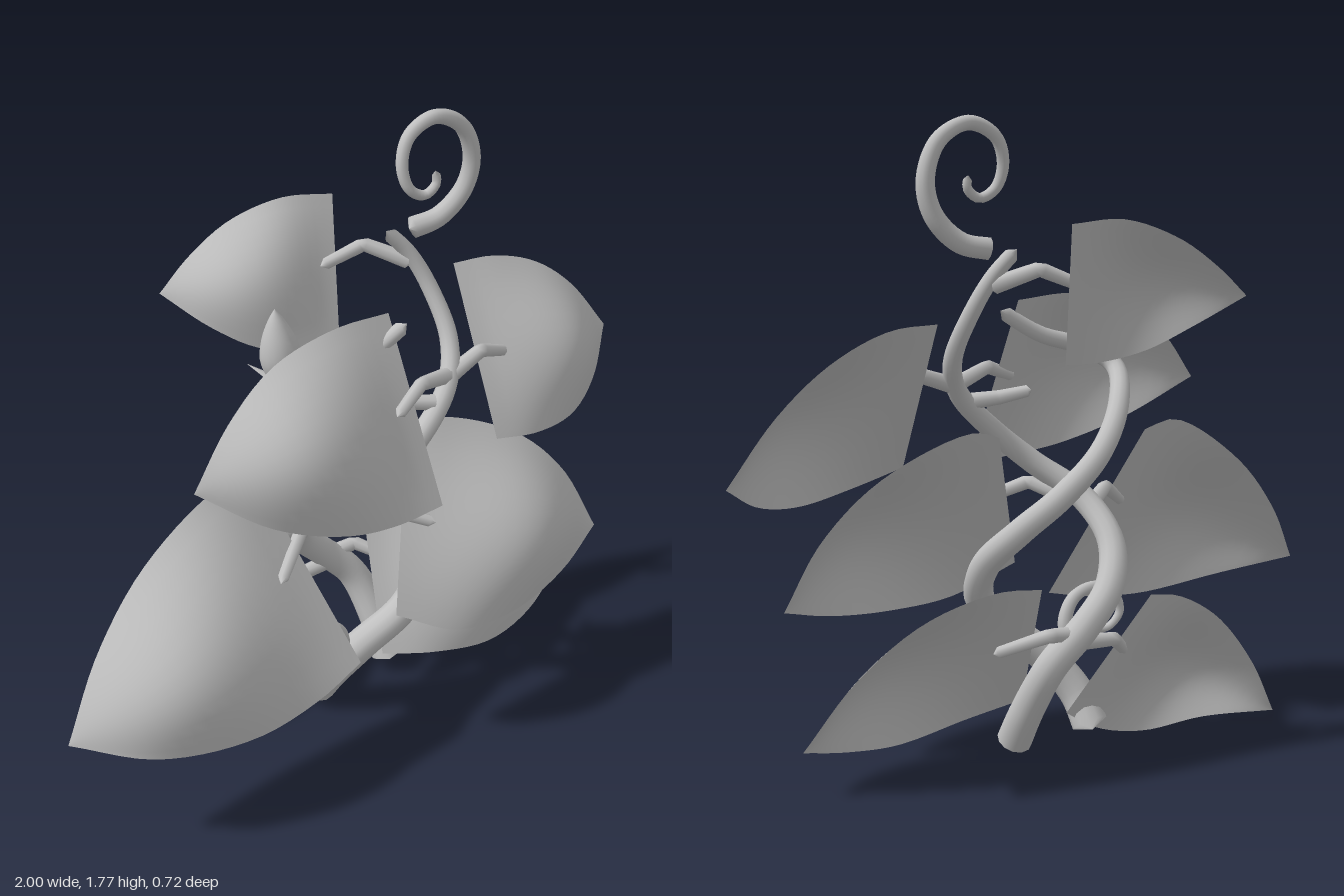
import * as THREE from 'three';

const grey = new THREE.MeshStandardMaterial({ color: 0xc0c0c0, side: THREE.DoubleSide });
grey.name = 'plain grey';

const curveOf = (pts, tension = 0.5) => new THREE.CatmullRomCurve3(
  pts.map(p => new THREE.Vector3(...p)), false, tension === 0.5 ? 'centripetal' : 'catmullrom', tension);

function addMesh(group, name, geometry) {
  const mesh = new THREE.Mesh(geometry, grey);
  mesh.name = name;
  group.add(mesh);
  return mesh;
}

// Tube that tapers from r0 to r1, with its end rings drawn in to close it
function taperedTube(pts, r0, r1, segments, sides, tension) {
  const path = curveOf(pts, tension);
  const g = new THREE.TubeGeometry(path, segments, 1, sides, false);
  const pos = g.attributes.position, c = new THREE.Vector3(), q = new THREE.Vector3();
  for (let i = 0; i <= segments; i++) {
    const t = i / segments, end = i === 0 || i === segments;
    path.getPointAt(t, c);
    const r = end ? 0 : r0 + (r1 - r0) * t;
    for (let j = 0; j <= sides; j++) {
      const k = i * (sides + 1) + j;
      q.fromBufferAttribute(pos, k).sub(c).multiplyScalar(r).add(c);
      pos.setXYZ(k, q.x, q.y, q.z);
    }
  }
  return g;
}

// Leaf blade spanned between its upper and lower edges, which meet at the tip, swelling in the middle
function leafBlade(upper, lower, bulge) {
  const top = curveOf(upper), bottom = curveOf(lower);
  const g = new THREE.PlaneGeometry(1, 1, 20, 12);
  const pos = g.attributes.position, uv = g.attributes.uv;
  for (let i = 0; i < pos.count; i++) {
    const u = uv.getX(i), v = uv.getY(i);
    const p = bottom.getPointAt(u).lerp(top.getPointAt(u), v);
    const swell = bulge * Math.sin(Math.PI * v) * Math.sin(Math.PI * u) ** 2;
    pos.setXYZ(i, p.x, p.y + swell * 0.4, p.z + swell);
  }
  g.computeVertexNormals();
  return g;
}

// Upper edge, lower edge (both from the stalk end to the tip) and swelling of each leaf
const LEAVES = {
  topBackLeaf: [
    [[0.09, 1.5, -0.28], [-0.05, 1.51, -0.31], [-0.19, 1.46, -0.35], [-0.31, 1.38, -0.36], [-0.41, 1.3, -0.345]],
    [[0.04, 1.12, -0.16], [-0.07, 1.12, -0.155], [-0.2, 1.15, -0.185], [-0.31, 1.215, -0.245], [-0.41, 1.3, -0.345]],
    0.06],
  upperLeftLeaf: [
    [[0.08, 1.28, 0.03], [-0.1, 1.29, 0.05], [-0.3, 1.25, 0.08], [-0.45, 1.15, 0.12], [-0.58, 1.01, 0.17]],
    [[0.11, 0.79, 0.27], [-0.05, 0.8, 0.3], [-0.2, 0.82, 0.3], [-0.4, 0.89, 0.26], [-0.58, 1.01, 0.17]],
    0.09],
  upperRightLeaf: [
    [[0.42, 1.25, -0.17], [0.55, 1.24, -0.17], [0.72, 1.17, -0.19], [0.87, 1.05, -0.2], [1, 0.88, -0.19]],
    [[0.39, 0.83, 0.12], [0.55, 0.79, 0.1], [0.72, 0.77, 0.04], [0.87, 0.8, -0.06], [1, 0.88, -0.19]],
    0.09],
  middleLeftLeaf: [
    [[-0.33, 0.89, 0.03], [-0.44, 0.91, 0.04], [-0.68, 0.77, 0.07], [-0.86, 0.59, 0.13], [-1, 0.4, 0.22]],
    [[-0.16, 0.37, 0.29], [-0.32, 0.33, 0.33], [-0.53, 0.31, 0.355], [-0.8, 0.345, 0.33], [-1, 0.4, 0.22]],
    0.1],
  middleRightLeaf: [
    [[0.13, 0.9, 0.05], [0.21, 0.92, 0.05], [0.47, 0.81, 0.08], [0.63, 0.65, 0.12], [0.72, 0.45, 0.18]],
    [[-0.04, 0.48, 0.28], [0.14, 0.39, 0.33], [0.34, 0.375, 0.32], [0.55, 0.4, 0.26], [0.72, 0.45, 0.18]],
    0.09],
  lowerRightLeaf: [
    [[0.14, 0.53, -0.21], [0.28, 0.54, -0.22], [0.48, 0.48, -0.2], [0.64, 0.34, -0.14], [0.76, 0.13, -0.04]],
    [[0.06, 0.14, 0.05], [0.22, 0.1, 0.08], [0.43, 0.06, 0.08], [0.6, 0.08, 0.04], [0.76, 0.13, -0.04]],
    0.09],
  lowerLeftLeaf: [
    [[-0.21, 0.47, -0.2], [-0.29, 0.46, -0.21], [-0.43, 0.38, -0.2], [-0.57, 0.22, -0.18], [-0.67, 0.05, -0.15]],
    [[-0.05, 0.1, -0.01], [-0.15, 0.04, -0.01], [-0.31, 0.005, -0.01], [-0.49, 0.03, -0.05], [-0.67, 0.05, -0.15]],
    0.08],
};

// Kinked stalks, from the stem out to the leaf
const STALKS = [
  [[0.24, 1.33, -0.1], [0.13, 1.38, -0.18], [0.01, 1.33, -0.21]],
  [[0.27, 1.05, 0.06], [0.13, 1.09, 0.12], [0.02, 1.05, 0.175]],
  [[0.25, 1.05, 0.07], [0.37, 1.09, 0.05], [0.49, 1.03, 0]],
  [[-0.13, 0.69, 0], [-0.24, 0.72, 0.1], [-0.35, 0.65, 0.19]],
  [[-0.11, 0.7, 0.04], [-0.01, 0.75, 0.14], [0.13, 0.69, 0.21]],
  [[-0.02, 0.38, -0.18], [0.1, 0.39, -0.18], [0.22, 0.33, -0.08]],
  [[0.03, 0.36, -0.18], [-0.11, 0.35, -0.17], [-0.2, 0.28, -0.08]],
  [[0.2, 1, 0.1], [0.12, 1.01, 0.07], [0.04, 1.03, 0.03]],
];

export function createModel() {
  const model = new THREE.Group();
  model.name = 'climbingVine';

  // Two stems winding round each other
  addMesh(model, 'tallStem', taperedTube([
    [0.13, 0.04, -0.02], [0.12, 0.16, -0.09], [0.08, 0.3, -0.16], [-0.01, 0.4, -0.18], [-0.1, 0.5, -0.16],
    [-0.15, 0.61, -0.08], [-0.12, 0.72, 0.04], [-0.01, 0.81, 0.11], [0.11, 0.91, 0.125], [0.24, 1.03, 0.08],
    [0.29, 1.13, 0.01], [0.275, 1.26, -0.07], [0.23, 1.36, -0.11], [0.17, 1.43, -0.13],
  ], 0.05, 0.02, 90, 12));
  addMesh(model, 'shortStem', taperedTube([
    [-0.13, 0.04, -0.02], [-0.11, 0.14, 0.04], [-0.03, 0.25, 0.09], [0.09, 0.35, 0.115], [0.18, 0.45, 0.08],
    [0.2, 0.56, 0], [0.15, 0.67, -0.11], [0.06, 0.77, -0.18], [-0.05, 0.88, -0.19], [-0.15, 1, -0.12],
    [-0.2, 1.09, -0.01], [-0.13, 1.14, 0.04], [0, 1.18, 0.05], [0.12, 1.25, 0.06],
  ], 0.052, 0.02, 90, 12));

  // Curled tendrils
  addMesh(model, 'topTendril', taperedTube([
    [0.23, 1.43, -0.11], [0.32, 1.45, -0.1], [0.39, 1.52, -0.09], [0.41, 1.61, -0.085], [0.37, 1.71, -0.08],
    [0.28, 1.755, -0.075], [0.2, 1.72, -0.07], [0.17, 1.65, -0.055], [0.185, 1.585, -0.04], [0.23, 1.56, -0.035],
    [0.265, 1.585, -0.035], [0.265, 1.62, -0.04],
  ], 0.031, 0.012, 70, 10));
  addMesh(model, 'lowTendril', taperedTube([
    [-0.13, 0.26, 0.12], [-0.125, 0.33, 0.13], [-0.16, 0.39, 0.14], [-0.24, 0.41, 0.155], [-0.31, 0.38, 0.165],
    [-0.335, 0.32, 0.17], [-0.3, 0.275, 0.175], [-0.25, 0.275, 0.175], [-0.235, 0.31, 0.17], [-0.26, 0.33, 0.165],
  ], 0.023, 0.008, 60, 10));

  // Leaf stalks
  STALKS.forEach((pts, i) => addMesh(model, `leafStalk${i + 1}`, taperedTube(pts, 0.024, 0.016, 16, 8, 0)));

  // Leaves
  for (const [name, [upper, lower, bulge]] of Object.entries(LEAVES)) {
    addMesh(model, name, leafBlade(upper, lower, bulge));
  }

  // Closed bud with a ring of small sepals
  const bud = new THREE.Group();
  bud.name = 'bud';
  bud.position.set(-0.22, 1.11, 0);
  const profile = [[0, 0], [0.03, 0.03], [0.054, 0.1], [0.048, 0.16], [0.024, 0.22], [0, 0.26]];
  const outline = new THREE.SplineCurve(profile.map(p => new THREE.Vector2(...p))).getPoints(18);
  outline.forEach(p => { p.x = Math.max(p.x, 0); });
  addMesh(bud, 'budBody', new THREE.LatheGeometry(outline, 16)).rotation.z = 0.1;
  for (let i = 0; i < 5; i++) {
    const sepal = addMesh(bud, 'sepal', new THREE.ConeGeometry(0.026, 0.12, 8).translate(0, 0.06, 0));
    sepal.scale.z = 0.4;
    sepal.rotation.set(1.2, i * Math.PI * 0.4, 0, 'YXZ');
    sepal.position.y = 0.02;
  }
  model.add(bud);
  return model;
}
